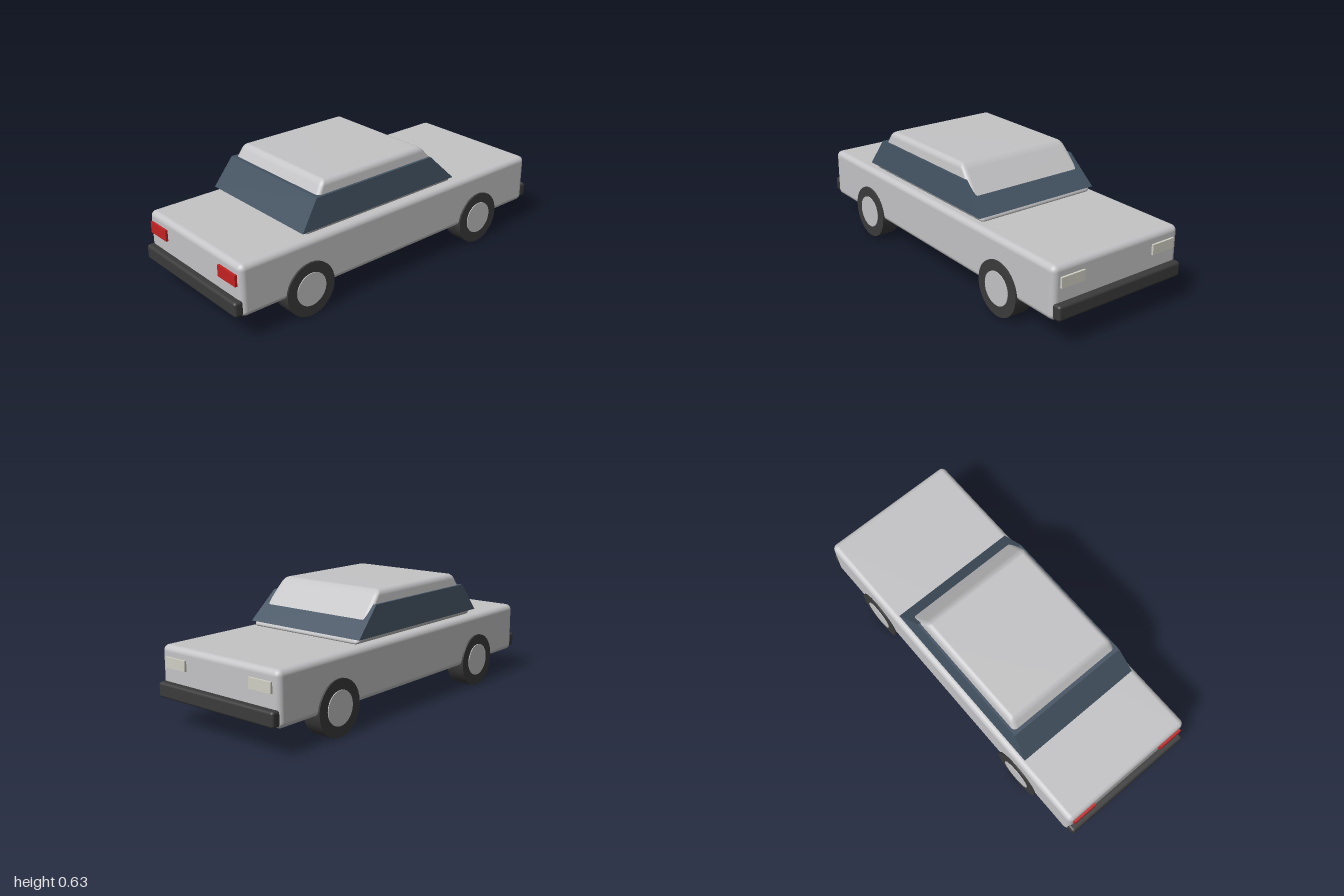
import * as THREE from 'three';
import { RoundedBoxGeometry } from 'three/addons/geometries/RoundedBoxGeometry.js';
import { mergeVertices } from 'three/addons/utils/BufferGeometryUtils.js';

function material(name, color) {
  const m = new THREE.MeshStandardMaterial({ color });
  m.name = name;
  return m;
}

// Reshape a box so its x and z extents run linearly from a lower to an upper rectangle.
// Each rectangle is { y, x0, x1, z }.
function taper(geometry, width, depth, low, high) {
  const p = geometry.attributes.position;
  const lerp = THREE.MathUtils.lerp;
  for (let i = 0; i < p.count; i++) {
    const t = (p.getY(i) - low.y) / (high.y - low.y);
    const x0 = lerp(low.x0, high.x0, t);
    const x1 = lerp(low.x1, high.x1, t);
    p.setX(i, lerp(x0, x1, p.getX(i) / width + 0.5));
    p.setZ(i, (p.getZ(i) / (depth / 2)) * lerp(low.z, high.z, t));
  }
  return geometry;
}

export function createModel() {
  const car = new THREE.Group();
  car.name = 'car';
  const paint = material('silver paint', 0xc4c4c6);
  const glass = material('tinted glass', 0x435261);
  const rubber = material('dark rubber', 0x3b3b3b);
  const lampWhite = material('headlight cream', 0xd0d0c4);
  const lampRed = material('tail light red', 0xc42222);

  function add(name, geometry, mat, x = 0, y = 0, z = 0) {
    const mesh = new THREE.Mesh(geometry, mat);
    mesh.name = name;
    mesh.position.set(x, y, z);
    car.add(mesh);
    return mesh;
  }

  // Lower body
  add('body', new RoundedBoxGeometry(1.93, 0.264, 0.77, 4, 0.03), paint, 0, 0.263, 0);

  // Cabin with a sloping windscreen and rear
  const cabin = new RoundedBoxGeometry(0.97, 0.235, 0.7, 4, 0.028);
  cabin.translate(0, 0.5125, 0);
  taper(cabin, 0.97, 0.7,
    { y: 0.395, x0: -0.578, x1: 0.413, z: 0.352 },
    { y: 0.63, x0: -0.44, x1: 0.2, z: 0.318 });
  cabin.deleteAttribute('normal');
  cabin.deleteAttribute('uv');
  const smoothCabin = mergeVertices(cabin);
  smoothCabin.computeVertexNormals();
  add('cabin', smoothCabin, paint);

  // Window band wrapped round the cabin
  const band = new THREE.BoxGeometry(1, 0.146, 1).translate(0, 0.493, 0);
  taper(band, 1, 1,
    { y: 0.42, x0: -0.597, x1: 0.4, z: 0.358 },
    { y: 0.566, x0: -0.497, x1: 0.25, z: 0.34 });
  band.computeVertexNormals();
  add('windowBand', band, glass);

  // Bumpers
  const bumper = new RoundedBoxGeometry(0.05, 0.076, 0.756, 3, 0.014);
  add('frontBumper', bumper, rubber, 0.975, 0.182, 0);
  add('rearBumper', bumper, rubber, -0.975, 0.182, 0);

  // Lamps and wheels, mirrored left and right
  const headlight = new THREE.BoxGeometry(0.02, 0.052, 0.136);
  const tailLight = new THREE.BoxGeometry(0.02, 0.058, 0.136);
  const tyre = new THREE.CylinderGeometry(0.141, 0.141, 0.1, 32).rotateX(Math.PI / 2);
  const hub = new THREE.CylinderGeometry(0.086, 0.086, 0.1, 32).rotateX(Math.PI / 2);
  for (const [side, s] of [['left', 1], ['right', -1]]) {
    add(side + 'Headlight', headlight, lampWhite, 0.966, 0.316, s * 0.278);
    add(side + 'TailLight', tailLight, lampRed, -0.967, 0.316, s * 0.288);
    for (const [end, x] of [['Front', 0.58], ['Rear', -0.58]]) {
      add(side + end + 'Tyre', tyre, rubber, x, 0.141, s * 0.344);
      add(side + end + 'Hub', hub, paint, x, 0.143, s * 0.348);
    }
  }
  return car;
}
